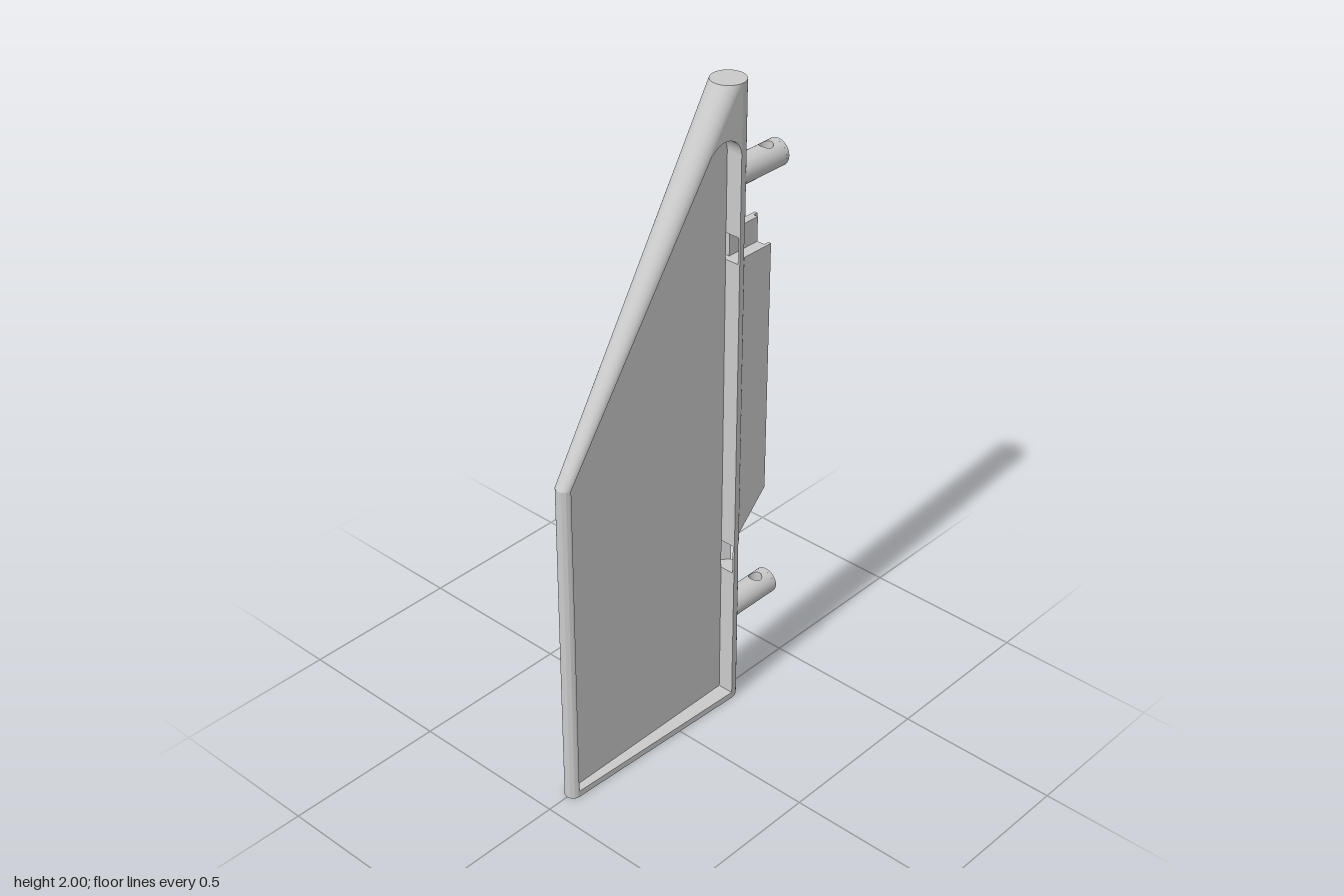
import * as THREE from 'three';
import { toCreasedNormals } from 'three/addons/utils/BufferGeometryUtils.js';
import { ParametricGeometry } from 'three/addons/geometries/ParametricGeometry.js';

const POST = { x: 0.22, r: 0.05, top: 2 };
const TAIL = { x: -0.405, r: 0.025, top: 1.05 };
const half = x => TAIL.r + (POST.r - TAIL.r) * (x - TAIL.x) / (POST.x - TAIL.x);
const rad = THREE.MathUtils.degToRad;
const lerp = THREE.MathUtils.lerp;

export function createModel() {
  const model = new THREE.Group();
  model.name = 'bladePanel';
  const grey = new THREE.MeshStandardMaterial({ color: 0xcacaca, side: THREE.DoubleSide });
  grey.name = 'grey';

  const add = (name, geo, parent = model) => {
    const mesh = new THREE.Mesh(geo, grey);
    mesh.name = name;
    parent.add(mesh);
  };
  const polygon = pts => new THREE.Shape(pts.map(p => new THREE.Vector2(...p)));
  const extrude = (shape, depth) =>
    new THREE.ExtrudeGeometry(shape, { depth, bevelEnabled: false, curveSegments: 24 });

  // Slab between the mid plane and the tapered face; side is 1 for front, -1 for back
  const slab = (name, shape, side) => {
    const geo = extrude(shape, 1);
    const p = geo.attributes.position;
    for (let i = 0; i < p.count; i++) {
      const outer = (p.getZ(i) > 0.5) === (side > 0);
      p.setZ(i, outer ? side * half(p.getX(i)) : 0);
    }
    geo.computeVertexNormals();
    add(name, geo);
  };

  // Upright solid cut from a cylinder by a chord or, with a wall, a curved shell;
  // angles run from +x towards +z
  const sector = (name, c, a0, a1, y0, y1, wall) => {
    const s = new THREE.Shape();
    s.absarc(c.x, 0, c.r, rad(-a0), rad(-a1), true);
    if (wall) s.absarc(c.x, 0, c.r - wall, rad(-a1), rad(-a0), false);
    const geo = extrude(s, y1 - y0).rotateX(-Math.PI / 2).translate(0, y0, 0);
    add(name, toCreasedNormals(geo, 0.5));
  };

  // Back half, with the recess floor on its front, and the front rim round the recess
  slab('backPanel', polygon([[TAIL.x, 0], [POST.x, 0], [POST.x, 2], [TAIL.x, 1.05]]), -1);
  slab('frontBottomRim', polygon([[TAIL.x, 0], [POST.x, 0], [POST.x, 0.02], [TAIL.x, 0.02]]), 1);
  const corner = new THREE.Shape();
  corner.moveTo(POST.x, 2);
  corner.lineTo(0.11, 1.833);
  corner.absarc(0.16, 1.795, 0.06, rad(140), 0, true);
  slab('frontTopCorner', corner, 1);

  // Post with two slots that open into the recess
  for (const [y0, y1] of [[0, 0.46], [0.555, 1.475], [1.555, 2]]) sector('post', POST, -90, 90, y0, y1);
  for (const [y0, y1] of [[0.46, 0.555], [1.475, 1.555]]) {
    sector('slotSkin', POST, 62, 90, y0, y1, 0.006);
    const back = new THREE.Shape();
    back.moveTo(POST.x, 0.005);
    back.absarc(POST.x, 0, POST.r, rad(6), rad(90), false);
    add('slotBack', toCreasedNormals(
      extrude(back, y1 - y0).rotateX(-Math.PI / 2).translate(0, y0, 0), 0.5));
  }
  add('postCap', new THREE.CircleGeometry(POST.r, 48).rotateX(-Math.PI / 2).translate(POST.x, POST.top, 0));

  // Rounded trailing edge and the sloping edge lofted from tail to post
  sector('tailEdge', TAIL, 90, 270, 0, TAIL.top);
  const slope = (name, section, n) => add(name, new ParametricGeometry((u, v, t) => {
    const [a, scale] = section(u);
    const r = lerp(TAIL.r, POST.r, v) * scale;
    t.set(lerp(TAIL.x, POST.x, v) + r * Math.cos(a), lerp(TAIL.top, POST.top, v), r * Math.sin(a));
  }, n, 12));
  slope('slopingEdge', u => [Math.PI * (0.5 + u), 1], 24);
  slope('recessSlopeWall', u => [Math.PI / 2, 1 - u], 1);

  // Hinge pegs, each with an upright pin hole
  const R = 0.04, HOLE = 0.02, HX = 0.375;
  const rod = (x0, x1) =>
    new THREE.CylinderGeometry(R, R, x1 - x0, 48).rotateZ(Math.PI / 2).translate((x0 + x1) / 2, 0, 0);
  for (const y of [0.305, 1.72]) {
    const peg = new THREE.Group();
    peg.name = 'hingePeg';
    peg.position.y = y;
    model.add(peg);
    add('pegShaft', rod(0.222, HX - R), peg);
    add('pegTip', rod(HX + R, 0.425), peg);
    for (const side of [1, -1]) {
      add('pegAroundHole', new ParametricGeometry((u, v, t) => {
        const a = -side * u * Math.PI * 2, c = Math.cos(a), s = Math.sin(a);
        const m = Math.max(Math.abs(c), Math.abs(s));
        const turn = lerp(Math.asin(HOLE * s / R), Math.PI / 2 * s / m, v);
        t.set(HX + lerp(HOLE * c, R * c / m, v), side * R * Math.cos(turn), R * Math.sin(turn));
      }, 64, 8), peg);
    }
    add('pegHole', new ParametricGeometry((u, v, t) => {
      const a = u * Math.PI * 2, z = HOLE * Math.sin(a);
      t.set(HX + HOLE * Math.cos(a), (2 * v - 1) * Math.sqrt(R * R - z * z), z);
    }, 48, 1), peg);
  }

  // Latch fin: two thin cheeks with a recessed core, stepped down at the front
  const fin = (name, x1, top, z0, z1) => {
    const shape = polygon([[0.24, 0.57], [0.262, 0.572], [x1, 0.572 + (x1 - 0.262)], [x1, top], [0.24, top]]);
    add(name, extrude(shape, z1 - z0).translate(0, 0, z0));
  };
  fin('finBackCheek', 0.371, 1.55, -0.03, -0.02);
  fin('finBackCore', 0.355, 1.55, -0.02, -0.005);
  fin('finFrontCore', 0.355, 1.475, -0.005, 0.02);
  fin('finFrontCheek', 0.371, 1.475, 0.02, 0.03);

  return model;
}
